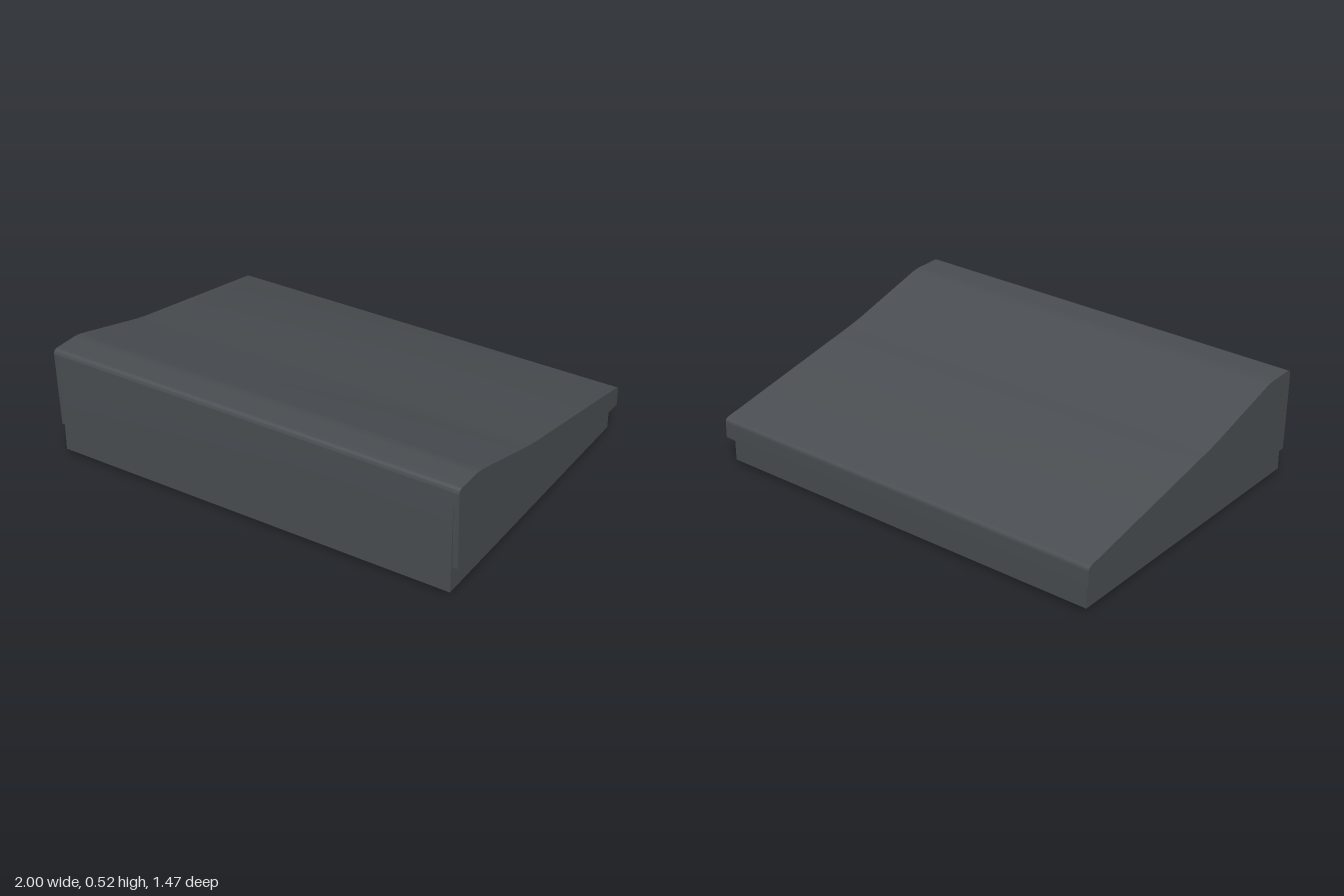
import * as THREE from 'three';
import { toCreasedNormals } from 'three/addons/utils/BufferGeometryUtils.js';

// Side profile of the sloped housing, drawn as (z, y); frontZ sets the lower front edge
function housingProfile(frontZ) {
  const s = new THREE.Shape();
  s.moveTo(-0.735, 0.135);
  s.lineTo(frontZ, 0.135);
  s.lineTo(0.735, 0.495);
  s.quadraticCurveTo(0.735, 0.519, 0.71, 0.519);
  s.lineTo(0.6, 0.518);
  s.quadraticCurveTo(0.57, 0.517, 0.54, 0.509);
  s.lineTo(0.18, 0.408);
  s.quadraticCurveTo(0.12, 0.392, 0.06, 0.381);
  s.lineTo(-0.715, 0.233);
  s.quadraticCurveTo(-0.735, 0.229, -0.735, 0.21);
  s.closePath();
  return s;
}

// Extrude a (z, y) shape across x from x0 to x1
function extrudeAcross(shape, x0, x1) {
  const g = new THREE.ExtrudeGeometry(shape, {
    depth: x1 - x0, bevelEnabled: false, curveSegments: 8,
  });
  g.rotateY(-Math.PI / 2).translate(x1, 0, 0);
  return toCreasedNormals(g, 0.5);
}

export function createModel() {
  const model = new THREE.Group();
  model.name = 'slopedConsole';

  const body = new THREE.MeshStandardMaterial({ color: 0x4b4f53 });
  body.name = 'charcoal casing';
  const rubber = new THREE.MeshStandardMaterial({ color: 0x35383b });
  rubber.name = 'dark rubber';

  function add(name, geometry, material) {
    const mesh = new THREE.Mesh(geometry, material);
    mesh.name = name;
    model.add(mesh);
    return mesh;
  }

  // Housing flush with the base at the front
  add('housing', extrudeAcross(housingProfile(0.735), -0.975, 0.975), body);

  // Side skirts overhang the base and step back slightly at the front
  add('leftSkirt', extrudeAcross(housingProfile(0.722), 0.975, 1), body);
  add('rightSkirt', extrudeAcross(housingProfile(0.722), -1, -0.975), body);

  // Base tray, inset at the sides and back
  const base = add('base', new THREE.BoxGeometry(1.95, 0.117, 1.445), body);
  base.position.set(0, 0.0775, 0.0125);

  // Four tapered feet
  for (const x of [-0.907, 0.907]) {
    for (const z of [-0.63, 0.633]) {
      const foot = add('foot', new THREE.CylinderGeometry(0.037, 0.024, 0.02, 24), rubber);
      foot.position.set(x, 0.01, z);
    }
  }
  return model;
}
